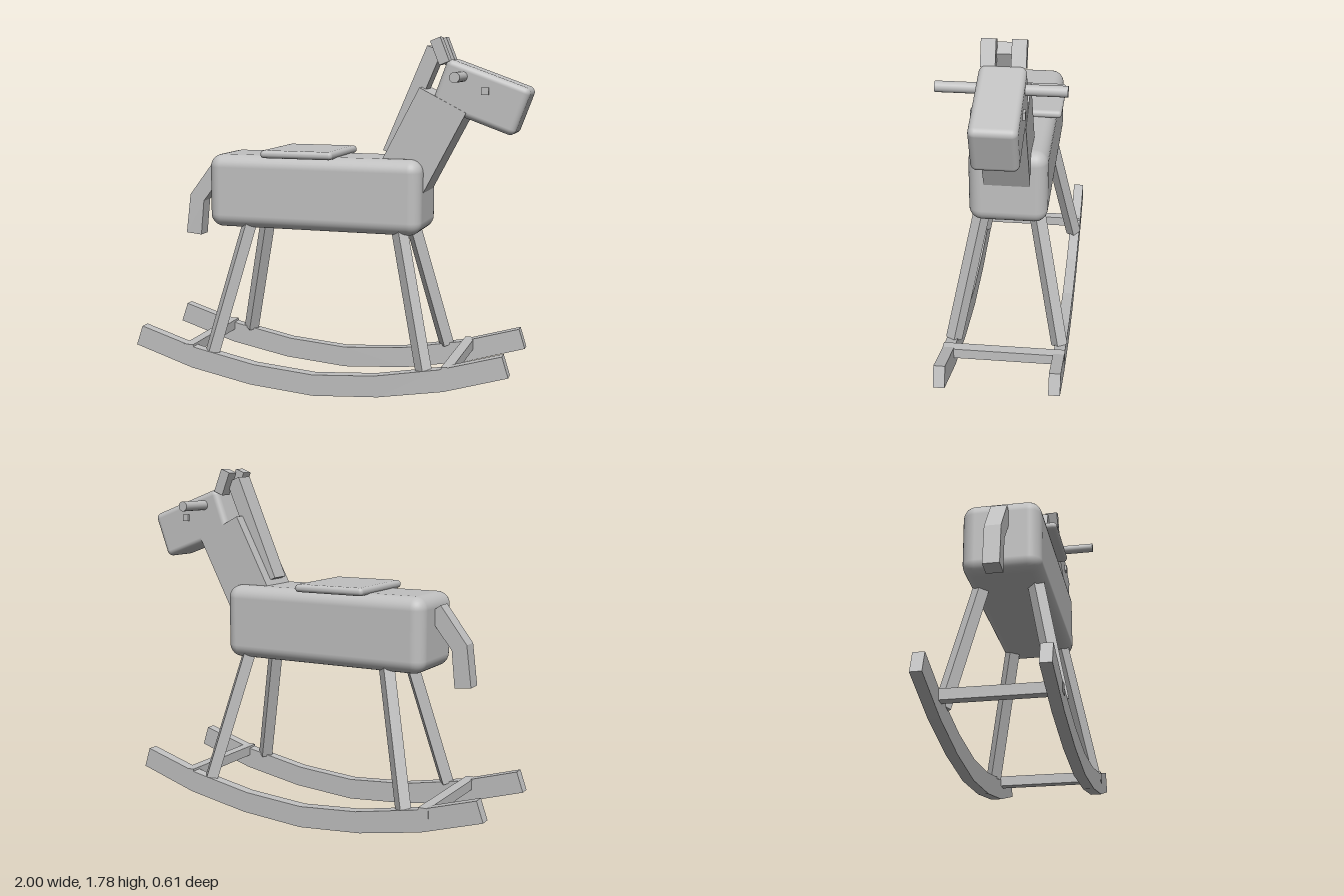
import * as THREE from 'three';
import { RoundedBoxGeometry } from 'three/addons/geometries/RoundedBoxGeometry.js';

export function createModel() {
  const model = new THREE.Group();
  model.name = 'rockingHorse';
  const grey = new THREE.MeshStandardMaterial({ color: 0xc0c0c0 });
  grey.name = 'plain grey';

  const add = (name, geometry, x = 0, y = 0, z = 0, tilt = 0) => {
    const mesh = new THREE.Mesh(geometry, grey);
    mesh.name = name;
    mesh.position.set(x, y, z);
    mesh.rotation.z = THREE.MathUtils.degToRad(tilt);
    model.add(mesh);
    return mesh;
  };
  const box = (w, h, d) => new THREE.BoxGeometry(w, h, d);

  // Side outline given as [x, y] points, extruded to a plank centred on z = 0
  const plank = (points, depth) => {
    const shape = new THREE.Shape(points.map(([x, y]) => new THREE.Vector2(x, y)));
    return new THREE.ExtrudeGeometry(shape, { depth, bevelEnabled: false })
      .translate(0, 0, -depth / 2);
  };

  // Trunk and saddle
  add('body', new RoundedBoxGeometry(1.12, 0.375, 0.38, 4, 0.065), -0.07, 1.0, 0);
  add('saddle', new RoundedBoxGeometry(0.38, 0.04, 0.445, 3, 0.019), -0.137, 1.2, 0);

  // Neck, mane and head
  add('neck', box(0.26, 0.6, 0.22), 0.442, 1.212, 0, -27.5);
  add('mane', box(0.078, 0.56, 0.105), 0.415, 1.467, 0, -23);
  add('head', new RoundedBoxGeometry(0.43, 0.24, 0.212, 4, 0.03), 0.761, 1.494, 0, -20);
  add('handle', new THREE.CylinderGeometry(0.025, 0.025, 0.58, 20).rotateX(Math.PI / 2), 0.674, 1.592, 0);

  // Tail in two straight lengths
  add('tail', plank([
    [-0.658, 1.14], [-0.797, 0.957], [-0.823, 0.75],
    [-0.738, 0.742], [-0.72, 0.925], [-0.59, 1.09],
  ], 0.08));

  // Rocker outline: lower edge forwards, then upper edge back
  const rocker = plank([
    [-1, 0.183], [-0.685, 0.086], [-0.36, 0.026], [-0.022, 0], [0.316, 0.026], [0.645, 0.086], [0.957, 0.183],
    [0.925, 0.285], [0.618, 0.193], [0.296, 0.132], [-0.022, 0.108], [-0.338, 0.132], [-0.66, 0.193], [-0.965, 0.285],
  ], 0.055);

  for (const side of [1, -1]) {
    const label = side > 0 ? 'left' : 'right';
    add(label + 'Rocker', rocker, 0, 0, side * 0.271);
    add(label + 'Ear', box(0.053, 0.125, 0.067), 0.561, 1.713, side * 0.068, 22);
    add(label + 'Eye', box(0.035, 0.035, 0.03), 0.786, 1.524, side * 0.103);

    // Splayed legs, square bars aimed from the belly to the rockers
    for (const end of [1, -1]) {
      const top = new THREE.Vector3(-0.02 + end * 0.383, 0.9, side * 0.12);
      const foot = new THREE.Vector3(-0.02 + end * 0.56, 0.172, side * 0.265);
      const leg = add(label + (end > 0 ? 'Front' : 'Back') + 'Leg', box(0.058, 0.058, top.distanceTo(foot)));
      leg.position.copy(top).lerp(foot, 0.5);
      leg.lookAt(foot);
    }
  }

  // Crossbars joining the rockers
  for (const end of [1, -1]) {
    add(end > 0 ? 'frontCrossbar' : 'backCrossbar', box(0.052, 0.052, 0.6), -0.02 + end * 0.68, 0.183, 0);
  }

  return model;
}
